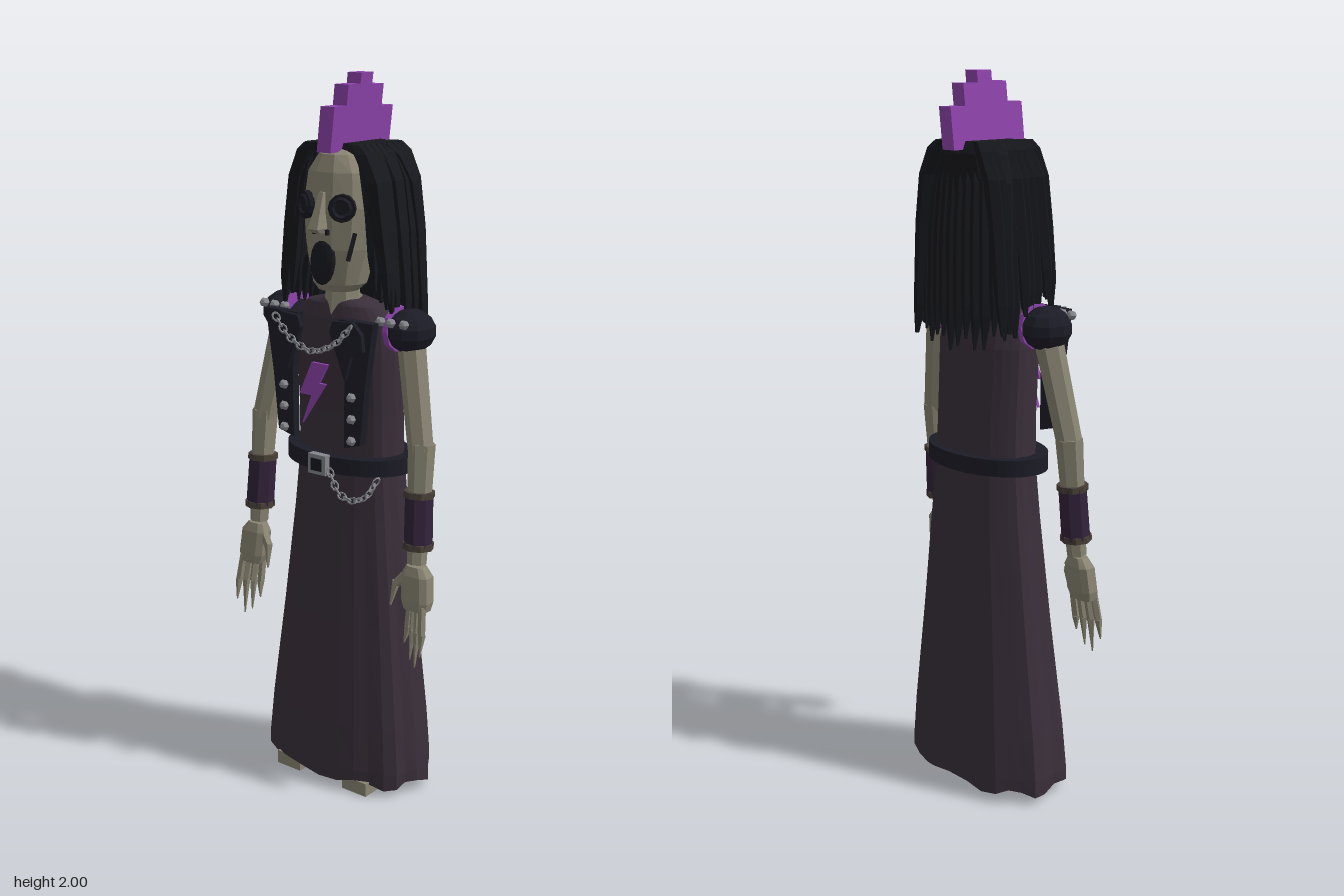
import * as THREE from 'three';

const mat = (name, color) => {
  const m = new THREE.MeshStandardMaterial({ color });
  m.name = name;
  return m;
};

export function createModel() {
  const M = {
    robe: mat('robe plum', 0x3a2f3b), hair: mat('hair black', 0x17181d),
    leather: mat('leather', 0x1c1c27), purple: mat('bright purple', 0x8e44ad),
    skin: mat('pale skin', 0x8a8573), dark: mat('hollow dark', 0x191a20),
    silver: mat('silver', 0x85878c), cuff: mat('cuff purple', 0x33233b), trim: mat('cuff trim', 0x4a4139),
  };
  const root = new THREE.Group();
  const V = (x, y, z) => new THREE.Vector3(x, y, z);

  // Faceted mesh
  const add = (parent, name, geo, m, x = 0, y = 0, z = 0) => {
    const g = geo.index ? geo.toNonIndexed() : geo;
    g.computeVertexNormals();
    const mesh = new THREE.Mesh(g, m);
    mesh.name = name;
    mesh.position.set(x, y, z);
    parent.add(mesh);
    return mesh;
  };
  const group = (name, parent = root) => {
    const g = new THREE.Group();
    g.name = name;
    parent.add(g);
    return g;
  };
  const box = (p, name, m, w, h, d, x, y, z) => add(p, name, new THREE.BoxGeometry(w, h, d), m, x, y, z);

  // Skin over horizontal rings [y, rx, rz, cz, cx], listed from the bottom up
  const loft = (rings, n, pow = 1, fold = 0) => {
    const pos = [], idx = [];
    const sq = v => Math.sign(v) * Math.abs(v) ** pow;
    rings.forEach(([y, rx, rz, cz = 0, cx = 0], i) => {
      const amp = fold * (1 - i / (rings.length - 1));
      for (let j = 0; j < n; j++) {
        const a = (j + 0.5) / n * Math.PI * 2;
        const k = 1 + amp * Math.cos(a * 9 + 0.6);
        const lift = i === 0 ? amp * 0.3 * Math.sin(a * 7) : 0;
        pos.push(cx + sq(Math.cos(a)) * rx * k, y + lift, cz + sq(Math.sin(a)) * rz * k);
      }
    });
    const top = (rings.length - 1) * n, c = rings.length * n;
    for (const r of [rings[0], rings[rings.length - 1]]) pos.push(r[4] || 0, r[0], r[3] || 0);
    for (let j = 0; j < n; j++) {
      const q = (j + 1) % n;
      for (let i = 0; i < top; i += n) idx.push(i + j, i + n + j, i + n + q, i + j, i + n + q, i + q);
      idx.push(c, j, q, c + 1, top + q, top + j);
    }
    const g = new THREE.BufferGeometry();
    g.setAttribute('position', new THREE.Float32BufferAttribute(pos, 3));
    g.setIndex(idx);
    return g;
  };

  // Tapered limb from a to b
  const limb = (p, name, m, a, b, ra, rb, n = 6) => {
    const mesh = add(p, name, new THREE.CylinderGeometry(rb, ra, a.distanceTo(b), n), m);
    mesh.position.copy(a).add(b).multiplyScalar(0.5);
    mesh.quaternion.setFromUnitVectors(V(0, 1, 0), b.clone().sub(a).normalize());
    return mesh;
  };
  const plate = (p, name, m, pts, depth, z) => {
    const s = new THREE.Shape(pts.map(([x, y]) => new THREE.Vector2(x, y)));
    return add(p, name, new THREE.ExtrudeGeometry(s, { depth, bevelEnabled: false }), m, 0, 0, z);
  };
  const chain = (name, pts, count) => {
    const g = group(name), curve = new THREE.CatmullRomCurve3(pts);
    for (let i = 0; i < count; i++) {
      const t = i / (count - 1);
      const link = add(g, 'link', new THREE.TorusGeometry(0.011, 0.003, 4, 8), M.silver);
      link.scale.set(1.2, 0.85, 1);
      link.position.copy(curve.getPointAt(t));
      link.quaternion.setFromUnitVectors(V(1, 0, 0), curve.getTangentAt(t));
      link.rotateX(i % 2 ? 0.8 : -0.8);
    }
  };
  const stud = (p, x, y, z) => {
    const s = add(p, 'stud', new THREE.SphereGeometry(0.014, 6, 4), M.silver, x, y, z);
    s.rotation.x = Math.PI / 2;
  };

  // Robe
  add(root, 'robe', loft([
    [0.03, 0.262, 0.15, -0.013], [0.07, 0.262, 0.15, -0.013], [0.2, 0.25, 0.144, -0.015],
    [0.5, 0.213, 0.122, -0.02], [0.8, 0.178, 0.105, -0.024], [0.96, 0.163, 0.095, -0.024],
    [1.1, 0.162, 0.092, -0.02], [1.28, 0.165, 0.09, -0.012], [1.36, 0.16, 0.078, -0.005],
    [1.395, 0.12, 0.062, 0], [1.41, 0.06, 0.05, 0.005],
  ], 30, 0.85, 0.035), M.robe);

  // Belt, buckle and hip chain
  const band = new THREE.Shape().absellipse(0, 0, 0.2, 0.132, 0, Math.PI * 2);
  band.holes.push(new THREE.Path().absellipse(0, 0, 0.165, 0.1, 0, Math.PI * 2));
  const belt = add(root, 'belt',
    new THREE.ExtrudeGeometry(band, { depth: 0.046, bevelEnabled: false, curveSegments: 20 }), M.leather, 0, 0.94, -0.016);
  belt.rotation.x = -Math.PI / 2;
  box(root, 'buckle', M.silver, 0.06, 0.056, 0.022, 0, 0.963, 0.123);
  box(root, 'buckleCentre', M.dark, 0.036, 0.034, 0.006, 0, 0.963, 0.135);
  chain('hipChain', [V(0.04, 0.945, 0.125), V(0.075, 0.895, 0.13), V(0.12, 0.883, 0.13), V(0.16, 0.9, 0.12), V(0.178, 0.94, 0.1)], 12);

  // Neck and head
  add(root, 'neck', new THREE.CylinderGeometry(0.045, 0.055, 0.1, 8), M.skin, 0, 1.42, 0.015);
  const head = group('head');
  add(head, 'skull', loft([
    [1.435, 0.055, 0.05, 0.035], [1.455, 0.075, 0.067, 0.028], [1.55, 0.1, 0.093, 0.014],
    [1.66, 0.114, 0.104, 0.004], [1.75, 0.1, 0.098, 0], [1.795, 0.065, 0.08, 0], [1.81, 0.035, 0.05, 0],
  ], 12, 0.9), M.skin);
  add(head, 'nose', loft([[1.595, 0.018, 0.02, 0.115], [1.607, 0.024, 0.035, 0.122], [1.64, 0.017, 0.025, 0.115], [1.7, 0.01, 0.01, 0.102]], 4), M.skin);
  const mouth = add(head, 'mouth', new THREE.SphereGeometry(1, 12, 8), M.dark, 0, 1.518, 0.103);
  mouth.scale.set(0.043, 0.063, 0.014);
  mouth.rotation.x = -0.1;
  for (const s of [-1, 1]) {
    const eye = group('eye', head);
    eye.position.set(s * 0.06, 1.662, 0.096);
    eye.rotation.y = s * 0.42;
    add(eye, 'socket', new THREE.CylinderGeometry(0.037, 0.037, 0.016, 12), M.dark).rotation.x = Math.PI / 2;
    add(eye, 'socketRim', new THREE.TorusGeometry(0.024, 0.006, 4, 10), M.leather, 0, 0, 0.008);
    const scar = box(head, 'cheekMark', M.dark, 0.011, 0.075, 0.008, s * 0.078, 1.56, 0.08);
    scar.rotation.set(0, s * 0.8, s * -0.25);
    box(head, 'nostril', M.dark, 0.009, 0.014, 0.008, s * 0.022, 1.597, 0.112);
  }

  // Hair: cap, side strands and long back strands
  const hair = group('hair');
  add(hair, 'hairCap', loft([
    [1.42, 0.12, 0.06, -0.06], [1.6, 0.13, 0.08, -0.045], [1.73, 0.125, 0.09, -0.042],
    [1.79, 0.105, 0.095, -0.04], [1.822, 0.075, 0.085, -0.035],
  ], 10, 0.8), M.hair);
  for (const s of [-1, 1]) {
    for (let i = 0; i < 8; i++) {
      const z = 0.062 - i * 0.026, w = 0.006 * Math.sin(i * 2.3 + s), end = 1.4 - i * 0.012 + w * 4;
      add(hair, 'sideStrand', loft([
        [end, 0.006, 0.006, z - 0.004, s * (0.177 + w)], [end + 0.08, 0.019, 0.017, z, s * (0.168 + w)],
        [1.6, 0.024, 0.02, z, s * (0.15 + w)], [1.73, 0.026, 0.021, z, s * (0.13 + w)],
        [1.8, 0.028, 0.02, z * 0.95, s * 0.095], [1.822, 0.022, 0.016, z * 0.9, s * 0.075],
      ], 5), M.hair);
      if (i < 5) add(hair, 'innerStrand', loft([
        [end + 0.03, 0.005, 0.005, z, s * 0.142], [end + 0.12, 0.016, 0.016, z, s * 0.134],
        [1.65, 0.018, 0.018, z - 0.005, s * 0.122], [1.78, 0.018, 0.016, z - 0.01, s * 0.095],
      ], 5), M.hair);
    }
  }
  for (let i = 0; i < 12; i++) {
    const x = -0.16 + i * 0.0291, w = Math.sin(i * 1.9), c = 0.03 * (x / 0.16) ** 2;
    const end = 1.285 + 0.02 * w + c;
    add(hair, 'backStrand', loft([
      [end, 0.003, 0.004, -0.137 + c, x * 1.05], [end + 0.09, 0.018, 0.017, -0.13 + c, x * 1.05],
      [1.58, 0.021, 0.02, -0.125 + c, x], [1.72, 0.022, 0.02, -0.115 + c, x * 0.9],
      [1.79, 0.02, 0.02, -0.1 + c, x * 0.7], [1.818, 0.016, 0.018, -0.08 + c, x * 0.55],
    ], 5), M.hair);
  }

  // Leaning crest of five blocks
  const crest = group('crest');
  [1.918, 1.972, 2.0, 1.968, 1.91].forEach((top, i) => {
    const g = new THREE.BoxGeometry(0.046, top - 1.8, 0.05);
    const p = g.attributes.position;
    for (let k = 0; k < p.count; k++) if (p.getY(k) > 0) p.setX(k, p.getX(k) + (top - 1.8) * 0.12);
    add(crest, 'crestBlock', g, M.purple, -0.003 + 0.0, (top + 1.8) / 2, 0.07 - i * 0.05);
  });

  for (const s of [-1, 1]) {
    const P = (x, y, z) => V(s * x, y, z);
    // Open vest front with lapel and studs
    const vest = group('vestFront');
    plate(vest, 'vestPanel', M.leather, [[0.184, 1.375], [0.07, 1.375], [0.09, 1.22], [0.088, 1.025], [0.142, 1.04], [0.158, 1.2]].map(([x, y]) => [s * x, y]), 0.025, 0.1);
    plate(vest, 'lapel', M.leather, [[0.155, 1.345], [0.125, 1.375], [0.06, 1.37], [0.05, 1.34], [0.1, 1.215], [0.12, 1.28], [0.16, 1.3]].map(([x, y]) => [s * x, y]), 0.014, 0.125);
    for (const y of [1.17, 1.11, 1.05]) stud(vest, s * 0.117, y, 0.13);

    // Puffed shoulder with trim disc and studs
    const shoulder = group('shoulder');
    add(shoulder, 'shoulderPad', new THREE.SphereGeometry(1, 10, 7), M.leather, s * 0.215, 1.342, 0).scale.set(0.066, 0.06, 0.072);
    add(shoulder, 'shoulderTrim', new THREE.CylinderGeometry(0.062, 0.062, 0.016, 10), M.purple, s * 0.174, 1.343, 0).rotation.z = Math.PI / 2;
    for (const [x, z] of [[0.165, 0.068], [0.2, 0.07], [0.24, 0.066]]) stud(shoulder, s * x, 1.372, z);

    // Arm and cuff
    const arm = group('arm');
    limb(arm, 'upperArm', M.skin, P(0.218, 1.32, 0), P(0.276, 1.03, 0.03), 0.04, 0.036, 7);
    limb(arm, 'forearm', M.skin, P(0.276, 1.05, 0.028), P(0.284, 0.72, 0.055), 0.038, 0.027, 7);
    limb(arm, 'cuff', M.cuff, P(0.278, 0.915, 0.04), P(0.284, 0.77, 0.05), 0.04, 0.041, 8);
    limb(arm, 'cuffTrim', M.trim, P(0.278, 0.922, 0.04), P(0.278, 0.905, 0.041), 0.043, 0.043, 8);
    limb(arm, 'cuffTrim', M.trim, P(0.284, 0.78, 0.05), P(0.284, 0.762, 0.051), 0.043, 0.043, 8);

    // Hand with pointed fingers
    const hand = group('hand', arm);
    add(hand, 'palm', loft([
      [0.595, 0.038, 0.024, 0.07, s * 0.297], [0.62, 0.045, 0.028, 0.067, s * 0.295],
      [0.69, 0.044, 0.028, 0.06, s * 0.29], [0.715, 0.028, 0.02, 0.058, s * 0.286],
    ], 8, 0.6), M.skin);
    [[0.268, 0.262, 0.49], [0.287, 0.288, 0.45], [0.306, 0.31, 0.435], [0.324, 0.332, 0.475]].forEach(([x, tip, end], i) => {
      const z = 0.058 + i * 0.008, mid = P((x + tip) / 2 + 0.003, 0.535, z + 0.012);
      limb(hand, 'finger', M.skin, P(x, 0.61, z), mid, 0.011, 0.011, 5);
      limb(hand, 'fingerTip', M.skin, mid, P(tip, end, z + 0.022), 0.0115, 0.002, 5);
    });
    limb(hand, 'thumb', M.skin, P(0.262, 0.69, 0.062), P(0.23, 0.655, 0.075), 0.016, 0.013, 5);
    limb(hand, 'thumbTip', M.skin, P(0.23, 0.662, 0.075), P(0.222, 0.595, 0.09), 0.013, 0.003, 5);

    // Foot
    const foot = group('foot');
    box(foot, 'sole', M.skin, 0.085, 0.04, 0.15, s * 0.122, 0.02, 0.048);
    box(foot, 'instep', M.skin, 0.06, 0.035, 0.1, s * 0.122, 0.052, 0.04);
    limb(foot, 'ankle', M.skin, P(0.122, 0.05, 0.01), P(0.122, 0.2, 0), 0.03, 0.03, 6);
  }

  // Chest emblem and neck chain
  plate(root, 'chestBolt', M.purple, [[-0.01, 1.25], [0.045, 1.25], [0.015, 1.195], [0.037, 1.195], [-0.045, 1.075], [-0.012, 1.158], [-0.053, 1.158]], 0.009, 0.132);
  chain('neckChain', [V(-0.125, 1.36, 0.15), V(-0.08, 1.315, 0.153), V(0, 1.285, 0.154), V(0.08, 1.315, 0.153), V(0.125, 1.36, 0.15)], 17);

  return root;
}
